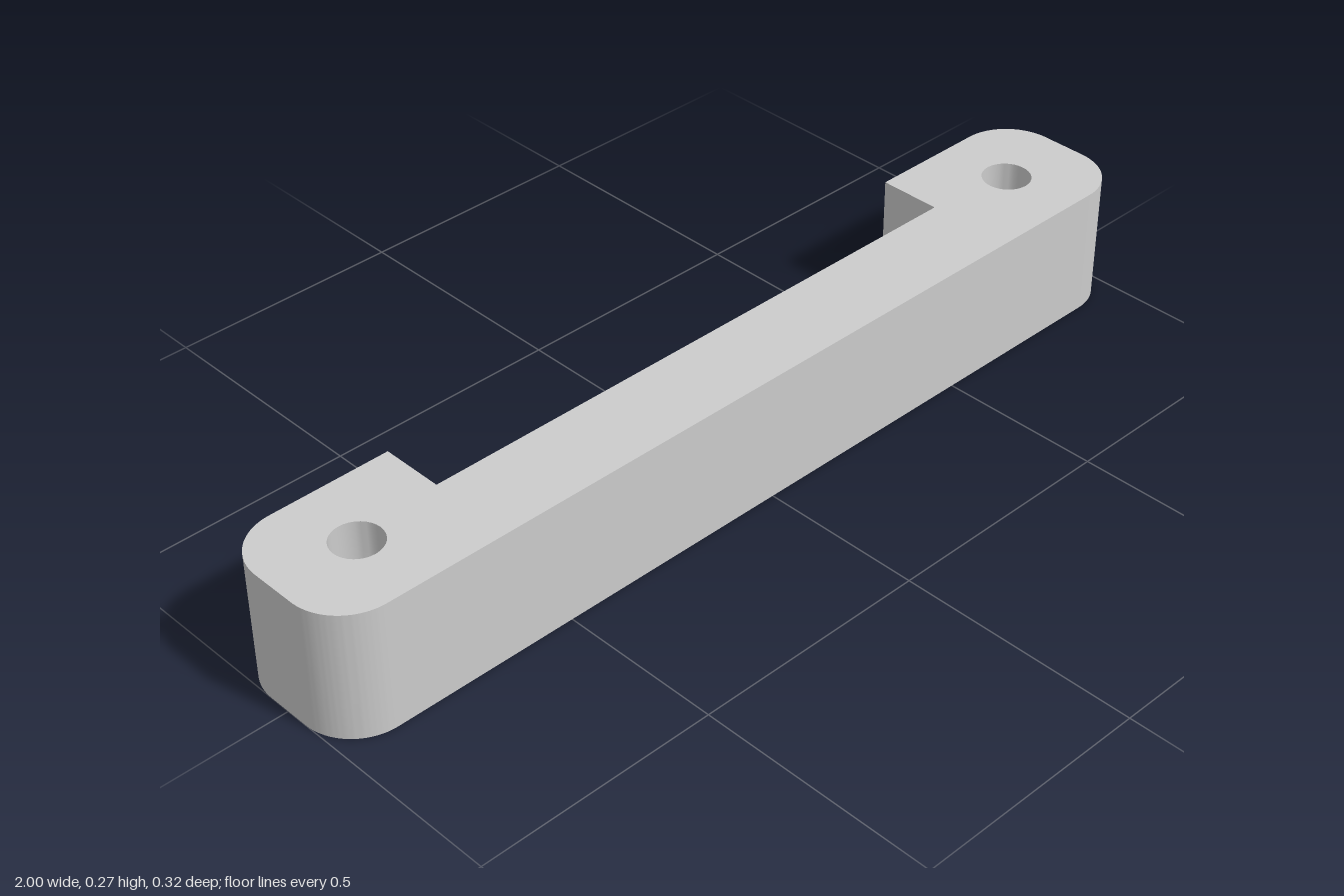
import * as THREE from 'three';
import { toCreasedNormals } from 'three/addons/utils/BufferGeometryUtils.js';

const HEIGHT = 0.27;
const HALF_LENGTH = 1;
const HALF_DEPTH = 0.158;
const CORNER = 0.11;
const NOTCH_X = 0.635;   // inner faces of the two end lugs
const NOTCH_Y = 0.026;   // back face of the slim middle bar
const HOLE_X = 0.825;
const HOLE_RADIUS = 0.05;

export function createModel() {
  const group = new THREE.Group();
  group.name = 'mountingBracket';

  // Plan outline, with the shape's +y pointing to the back
  const outline = new THREE.Shape();
  const cx = HALF_LENGTH - CORNER;
  const cy = HALF_DEPTH - CORNER;
  outline.moveTo(-cx, -HALF_DEPTH);
  outline.lineTo(cx, -HALF_DEPTH);
  outline.absarc(cx, -cy, CORNER, -Math.PI / 2, 0);
  outline.absarc(cx, cy, CORNER, 0, Math.PI / 2);
  outline.lineTo(NOTCH_X, HALF_DEPTH);
  outline.lineTo(NOTCH_X, NOTCH_Y);
  outline.lineTo(-NOTCH_X, NOTCH_Y);
  outline.lineTo(-NOTCH_X, HALF_DEPTH);
  outline.lineTo(-cx, HALF_DEPTH);
  outline.absarc(-cx, cy, CORNER, Math.PI / 2, Math.PI);
  outline.absarc(-cx, -cy, CORNER, Math.PI, Math.PI * 1.5);

  // Screw hole through each lug
  for (const side of [-1, 1]) {
    const hole = new THREE.Path();
    hole.absarc(side * HOLE_X, 0.003, HOLE_RADIUS, 0, Math.PI * 2, true);
    outline.holes.push(hole);
  }

  // Extrude upwards, smooth on the rounded faces and sharp at the edges
  const extruded = new THREE.ExtrudeGeometry(outline, {
    depth: HEIGHT, bevelEnabled: false, curveSegments: 16,
  });
  extruded.rotateX(-Math.PI / 2);
  const bracket = new THREE.Mesh(
    toCreasedNormals(extruded, Math.PI / 6),
    new THREE.MeshStandardMaterial({ color: 0xcccccc }),
  );
  bracket.name = 'bracketBody';
  group.add(bracket);
  return group;
}
